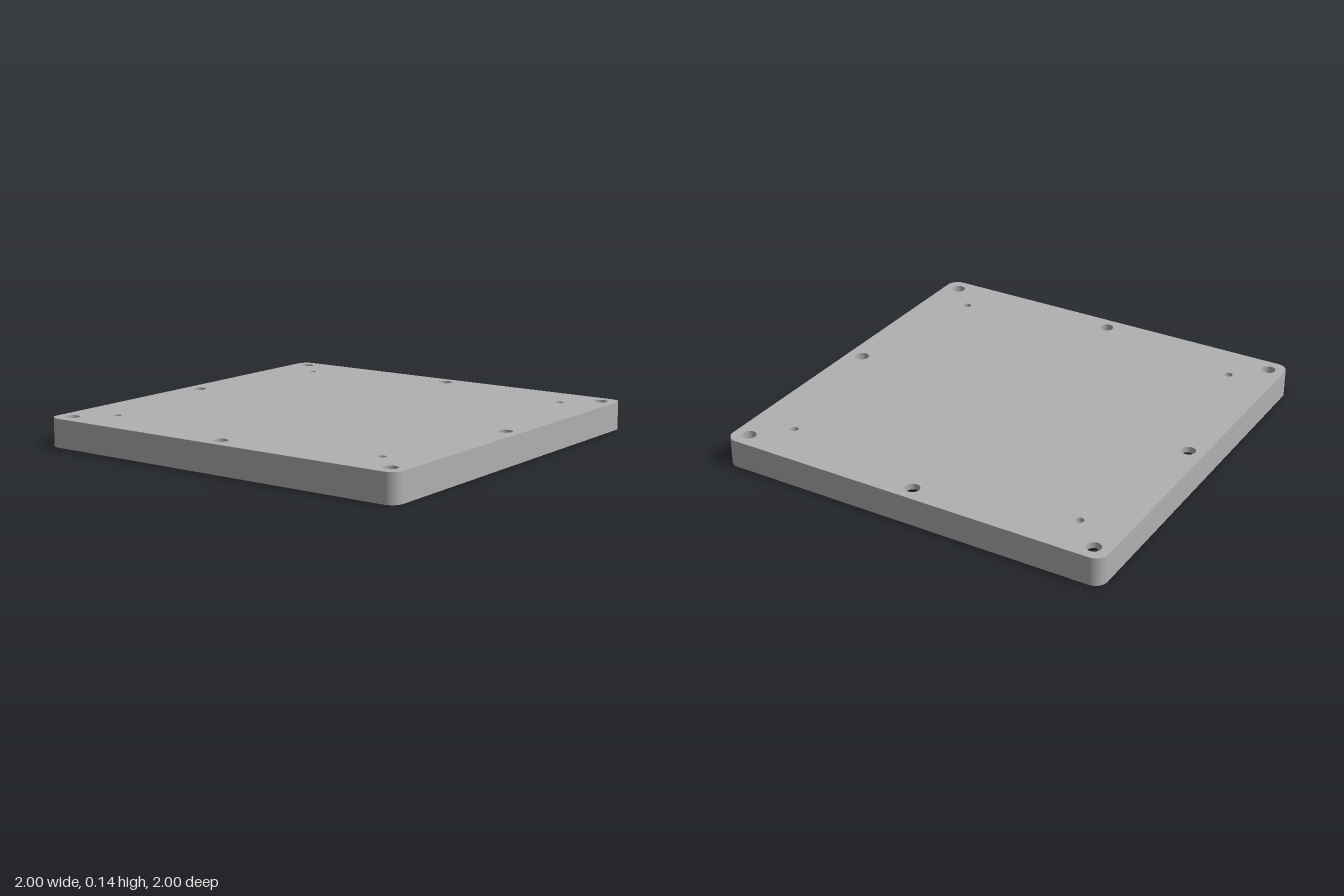
import * as THREE from 'three';
import { toCreasedNormals } from 'three/addons/utils/BufferGeometryUtils.js';

const WALL = 0.92;   // inner wall face, also the line of the screw holes
const SCREW_R = 0.035;
const PIN_R = 0.02;
const PIN = 0.77;

// Square with rounded corners, traced onto a Shape or Path
function roundedSquare(path, half, r) {
  const c = half - r;
  path.moveTo(half, -c);
  [[c, c], [-c, c], [-c, -c], [c, -c]].forEach(([x, y], i) => {
    path.absarc(x, y, r, (i * Math.PI) / 2, ((i + 1) * Math.PI) / 2, false);
  });
  path.closePath();
  return path;
}

function plainSquare(half) {
  return new THREE.Path([[1, -1], [1, 1], [-1, 1], [-1, -1]]
    .map(([x, y]) => new THREE.Vector2(x * half, y * half)));
}

// Inner wall outline with screw channels cut into the sides and corners
function channelledSquare() {
  const path = new THREE.Path();
  for (let i = 0; i < 4; i++) {
    const a = (i * Math.PI) / 2;
    const c = Math.round(Math.cos(a)), s = Math.round(Math.sin(a));
    path.absarc(WALL * c, WALL * s, SCREW_R, a - Math.PI / 2, a + Math.PI / 2, false);
    path.absarc(WALL * (c - s), WALL * (s + c), SCREW_R, a - Math.PI / 2, a + Math.PI, false);
  }
  path.closePath();
  return path;
}

function circle(x, y, r) {
  return new THREE.Path().absarc(x, y, r, 0, Math.PI * 2, false);
}

export function createModel() {
  const group = new THREE.Group();
  group.name = 'enclosureLid';
  const grey = new THREE.MeshStandardMaterial({ color: 0xb0b0b0 });
  grey.name = 'grey';

  // One horizontal layer of the lid, from height y0 to y1
  function layer(name, y0, y1, holes) {
    const shape = roundedSquare(new THREE.Shape(), 1, 0.06);
    shape.holes.push(...holes);
    const geo = new THREE.ExtrudeGeometry(shape, { depth: y1 - y0, bevelEnabled: false, curveSegments: 16 });
    geo.rotateX(-Math.PI / 2);
    geo.translate(0, y0, 0);
    const mesh = new THREE.Mesh(toCreasedNormals(geo, 0.6), grey);
    mesh.name = name;
    group.add(mesh);
  }

  // Screw holes around the edge, small pin holes further in
  const plateHoles = [];
  for (const x of [-1, 0, 1]) {
    for (const z of [-1, 0, 1]) {
      if (x || z) plateHoles.push(circle(x * WALL, z * WALL, SCREW_R));
      if (x && z) plateHoles.push(circle(x * PIN, z * PIN, PIN_R));
    }
  }

  layer('outerLip', 0, 0.02, [roundedSquare(new THREE.Path(), 0.96, 0.03)]);
  layer('ledge', 0.02, 0.04, [plainSquare(WALL)]);
  layer('wallWithScrewChannels', 0.04, 0.11, [channelledSquare()]);
  layer('topPlate', 0.11, 0.14, plateHoles);

  return group;
}
